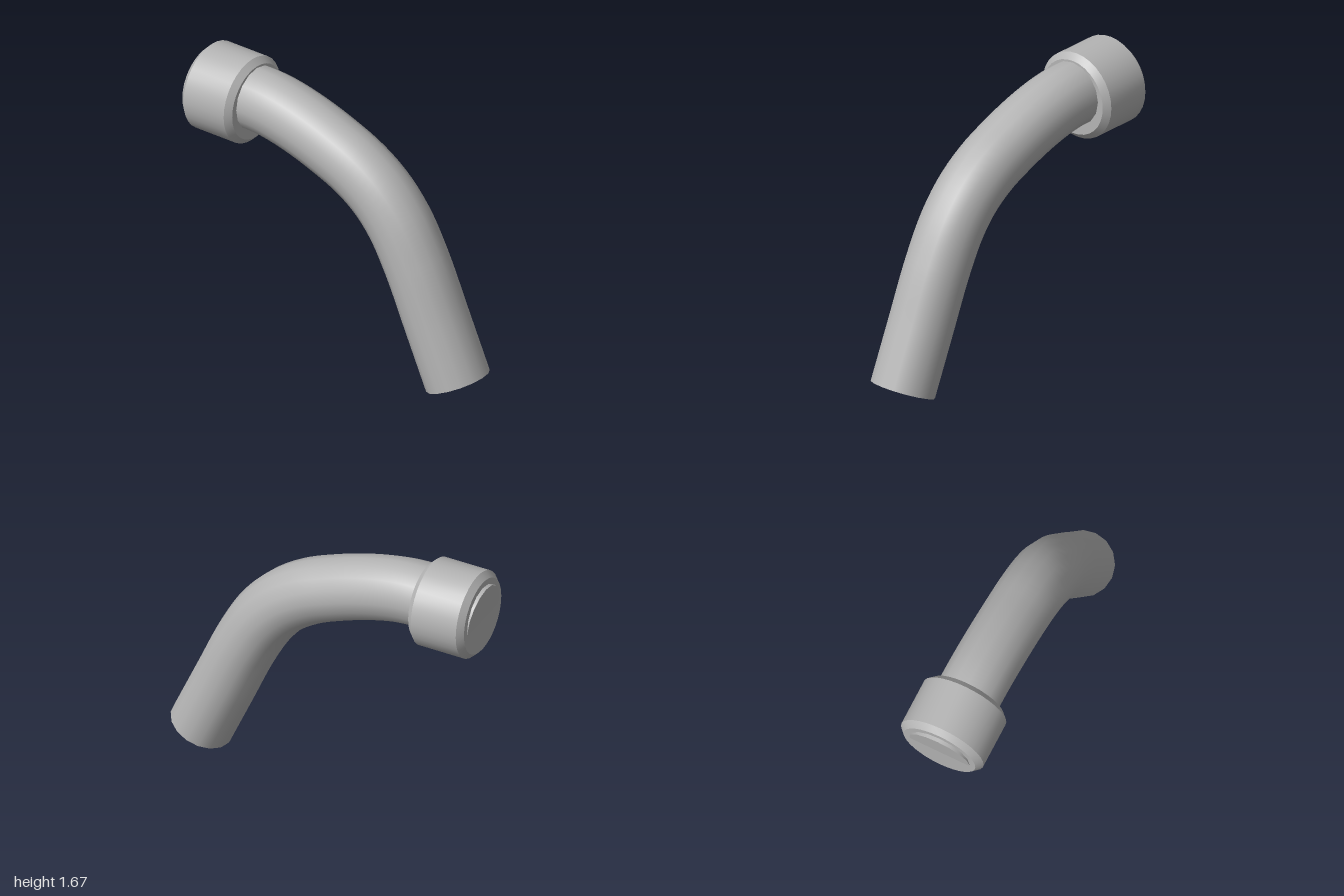
import * as THREE from 'three';
import { toCreasedNormals } from 'three/addons/utils/BufferGeometryUtils.js';

const PIPE_RADIUS = 0.192;
const PIPE_SIDES = 16;

export function createModel() {
  const model = new THREE.Group();
  model.name = 'bentPipe';
  const grey = new THREE.MeshStandardMaterial({ color: 0xb4b4b4 });
  grey.name = 'grey';

  function add(name, geometry) {
    const mesh = new THREE.Mesh(geometry, grey);
    mesh.name = name;
    model.add(mesh);
    return mesh;
  }

  // Pipe: nearly level at the collar, bending down to a straight outlet
  const path = new THREE.CatmullRomCurve3([
    [-0.993, 1.412], [-0.8, 1.432], [-0.57, 1.438], [-0.43, 1.421], [-0.255, 1.378],
    [-0.074, 1.315], [0.109, 1.234], [0.269, 1.123], [0.4, 0.975],
    [0.524, 0.756], [0.67, 0.425], [0.82, 0.083],
  ].map(([x, y]) => new THREE.Vector3(x, y, 0)), false, 'centripetal');
  add('pipe', new THREE.TubeGeometry(path, 48, PIPE_RADIUS, PIPE_SIDES, false));

  // Flat discs closing both pipe ends, facing along the path
  for (const [name, t, side] of [['pipeInletCap', 0, -1], ['pipeOutletCap', 1, 1]]) {
    const cap = add(name, new THREE.CircleGeometry(PIPE_RADIUS, PIPE_SIDES));
    const end = path.getPointAt(t);
    cap.position.copy(end);
    cap.lookAt(end.clone().addScaledVector(path.getTangentAt(t), side));
  }

  // Collar: closed cylinder with chamfered rims, axis along x
  const half = 0.18, radius = 0.264, chamfer = 0.035;
  const profile = [
    [0, -half], [radius - chamfer, -half], [radius, -half + chamfer],
    [radius, half - chamfer], [radius - chamfer, half], [0, half],
  ].map(([r, y]) => new THREE.Vector2(r, y));
  const collar = add('collar', toCreasedNormals(new THREE.LatheGeometry(profile, 32), 0.6));
  collar.rotation.z = -Math.PI / 2;
  collar.position.set(-0.81, 1.412, 0);

  return model;
}
